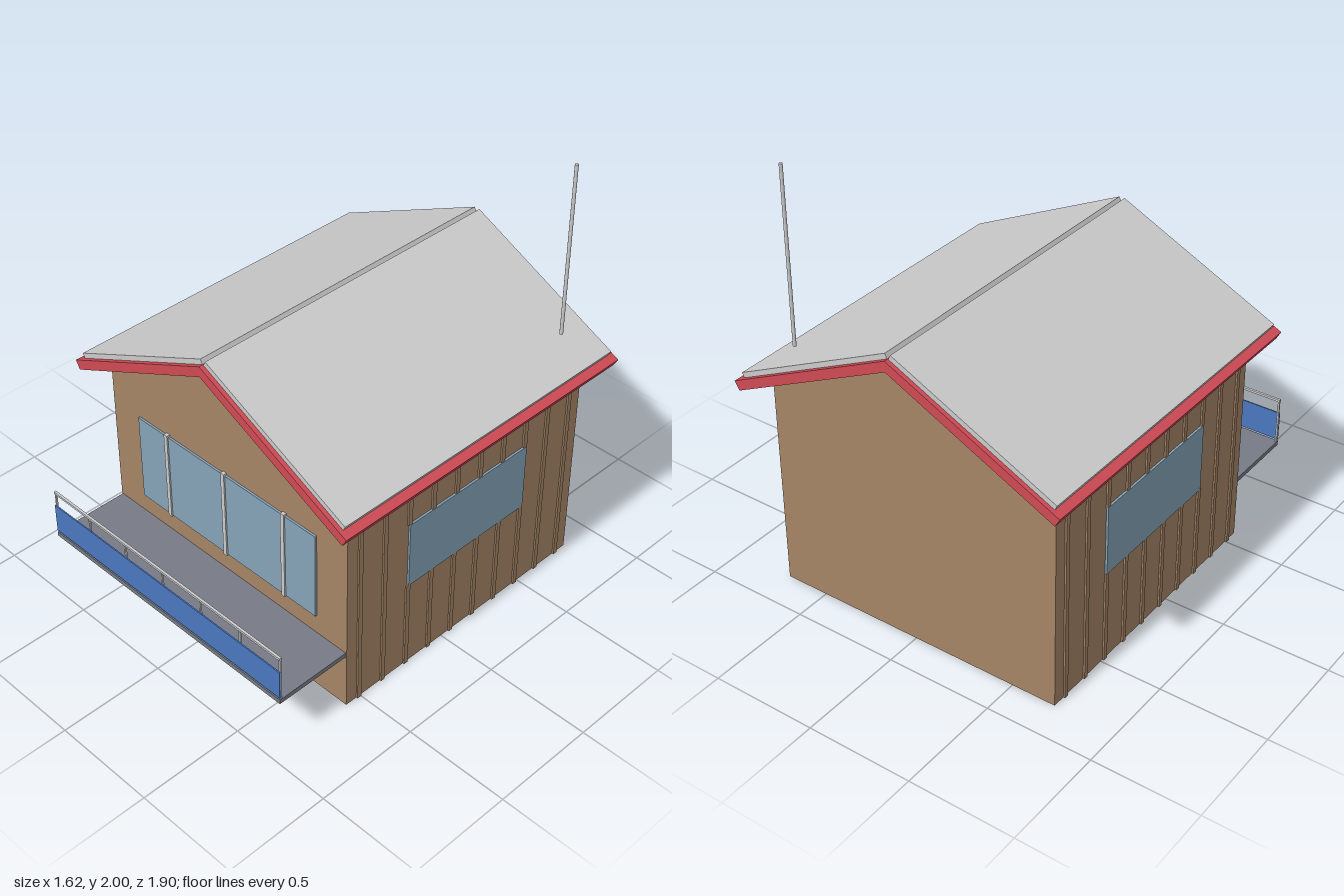
import * as THREE from 'three';

const mat = (color) => new THREE.MeshStandardMaterial({ color });
const BROWN = mat(0xa58566), RED = mat(0xcf4a55), GREY = mat(0xcccccc);
const GLASS = mat(0x86a3b8), BLUE = mat(0x4a78c0), DECK = mat(0x777b85);

const SLOPE = 0.48, ANGLE = Math.atan(SLOPE);
const ROOF_TOP = 1.43, ROOF_UNDER = 1.38;

export function createModel() {
  const group = new THREE.Group();

  const add = (name, geometry, material) => {
    const mesh = new THREE.Mesh(geometry, material);
    mesh.name = name;
    group.add(mesh);
    return mesh;
  };
  // Box given by its minimum and maximum corners
  const box = (name, material, [x0, y0, z0], [x1, y1, z1]) => {
    const mesh = add(name, new THREE.BoxGeometry(x1 - x0, y1 - y0, z1 - z0), material);
    mesh.position.set((x0 + x1) / 2, (y0 + y1) / 2, (z0 + z1) / 2);
    return mesh;
  };
  // Outline in x, y extruded from z0 to z1
  const prism = (name, material, points, z0, z1) => {
    const shape = new THREE.Shape(points.map(([x, y]) => new THREE.Vector2(x, y)));
    const geometry = new THREE.ExtrudeGeometry(shape, { depth: z1 - z0, bevelEnabled: false });
    return add(name, geometry.translate(0, 0, z0), material);
  };

  // Gabled house body
  const W = 0.71, eave = ROOF_UNDER - SLOPE * W;
  prism('walls', BROWN, [[-W, 0], [W, 0], [W, eave], [0, ROOF_UNDER], [-W, eave]], -0.83, 0.58);

  // Red chevron roof with square-cut eaves
  const topX = 0.81, lowX = 0.788;
  const topY = ROOF_TOP - SLOPE * topX, lowY = ROOF_UNDER - SLOPE * lowX;
  prism('roofFrame', RED, [
    [0, ROOF_TOP], [-topX, topY], [-lowX, lowY],
    [0, ROOF_UNDER], [lowX, lowY], [topX, topY],
  ], -0.95, 0.69);

  // Grey roof sheets, leaving a groove along the ridge
  const sheetLength = 0.77 / Math.cos(ANGLE), thickness = 0.024;
  for (const s of [1, -1]) {
    const sheet = add('roofSheet', new THREE.BoxGeometry(sheetLength, thickness, 1.6), GREY);
    const mid = 0.388;
    sheet.position.set(
      s * (mid + Math.sin(ANGLE) * thickness / 2),
      ROOF_TOP - SLOPE * mid + Math.cos(ANGLE) * thickness / 2,
      -0.13,
    );
    sheet.rotation.z = -s * ANGLE;
  }

  // Side cladding battens and side windows
  for (const s of [1, -1]) {
    for (let i = 0; i < 10; i++) {
      const z = 0.51 - i * 0.141;
      for (const [y0, y1] of i >= 2 && i <= 7 ? [[0, 0.45], [0.78, 1.035]] : [[0, 1.035]]) {
        box('batten', BROWN, [s > 0 ? 0.70 : -0.718, y0, z - 0.011],
          [s > 0 ? 0.718 : -0.70, y1, z + 0.011]);
      }
    }
    box('sideWindow', GLASS, [s > 0 ? 0.70 : -0.72, 0.45, -0.485],
      [s > 0 ? 0.72 : -0.70, 0.78, 0.23]);
  }

  // Front window with mullions
  box('frontWindow', GLASS, [-0.538, 0.395, 0.57], [0.538, 0.826, 0.59]);
  for (const x of [-0.355, 0, 0.355]) {
    box('mullion', GREY, [x - 0.01, 0.39, 0.57], [x + 0.01, 0.836, 0.597]);
  }

  // Balcony deck, railing and panel
  box('balconyDeck', DECK, [-0.705, 0.275, 0.57], [0.705, 0.297, 0.95]);
  box('railingPanel', BLUE, [-0.705, 0.307, 0.944], [0.705, 0.45, 0.95]);
  for (const x of [-0.7, -0.47, -0.235, 0, 0.235, 0.47, 0.7]) {
    box('railingPost', GREY, [x - 0.004, 0.29, 0.937], [x + 0.004, 0.52, 0.945]);
  }
  box('handrail', GREY, [-0.705, 0.513, 0.936], [0.705, 0.524, 0.948]);

  // Antenna pole
  const pole = add('antenna', new THREE.CylinderGeometry(0.008, 0.008, 0.82, 12), GREY);
  pole.position.set(0.635, 1.59, -0.767);

  return group;
}
